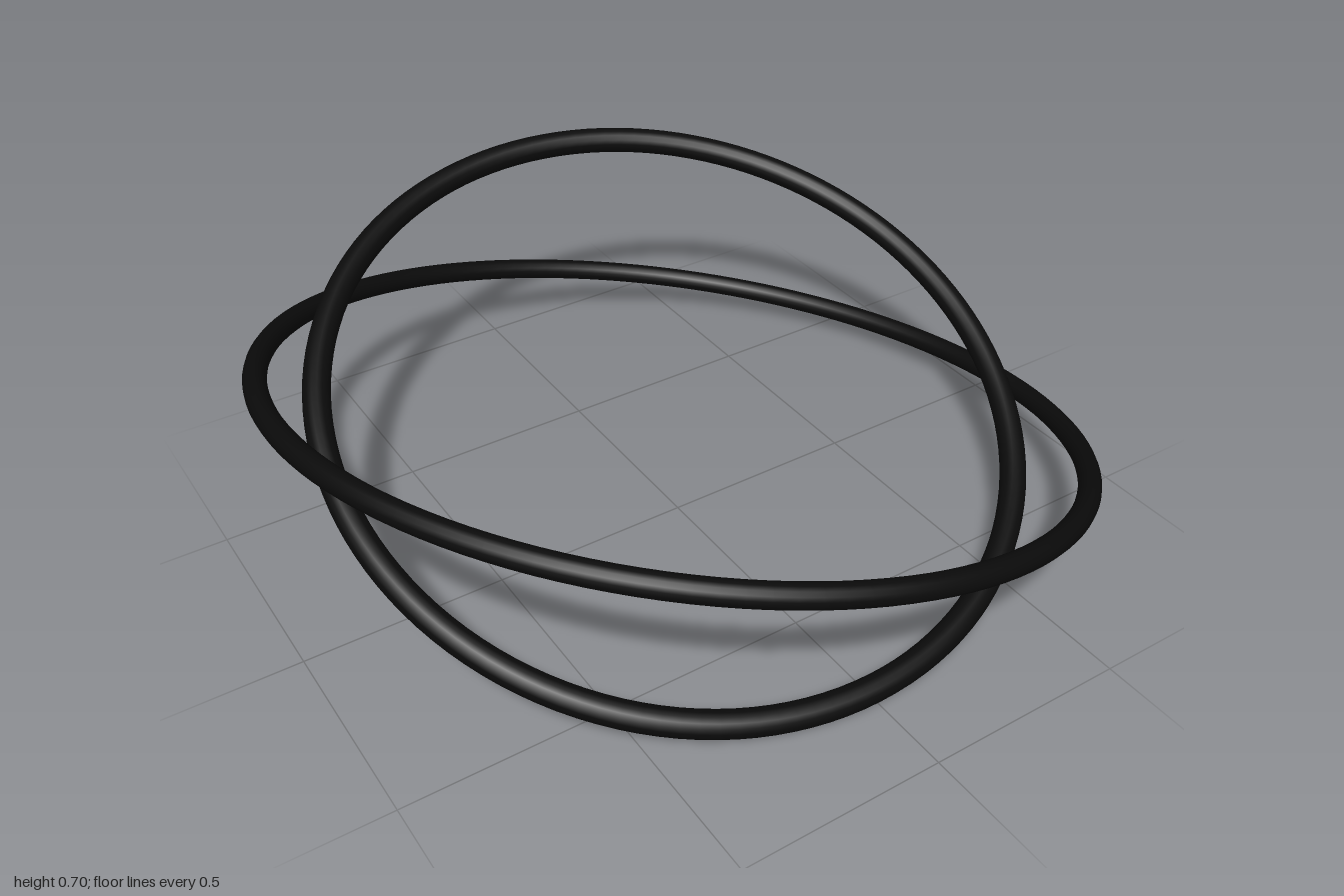
import * as THREE from 'three';

const CENTER_Y = 0.35;

// A closed ring whose axis points along the given normal
function makeRing(name, radius, tube, normal, material) {
  const geometry = new THREE.TorusGeometry(radius, tube, 16, 128);
  const ring = new THREE.Mesh(geometry, material);
  ring.name = name;
  ring.quaternion.setFromUnitVectors(new THREE.Vector3(0, 0, 1), normal.normalize());
  ring.position.y = CENTER_Y;
  return ring;
}

export function createModel() {
  const group = new THREE.Group();
  group.name = 'crossedRings';
  const black = new THREE.MeshStandardMaterial({ color: 0x0b0b0b });

  // Thicker inner ring, tipped down toward the front
  const tilt = THREE.MathUtils.degToRad(22);
  group.add(makeRing('innerRing', 0.845, 0.032,
    new THREE.Vector3(0, Math.cos(tilt), Math.sin(tilt)), black));

  // Thinner outer ring, tipped down toward +x and slightly toward the back
  group.add(makeRing('outerRing', 0.981, 0.027,
    new THREE.Vector3(0.247, 0.96, -0.13), black));

  return group;
}
